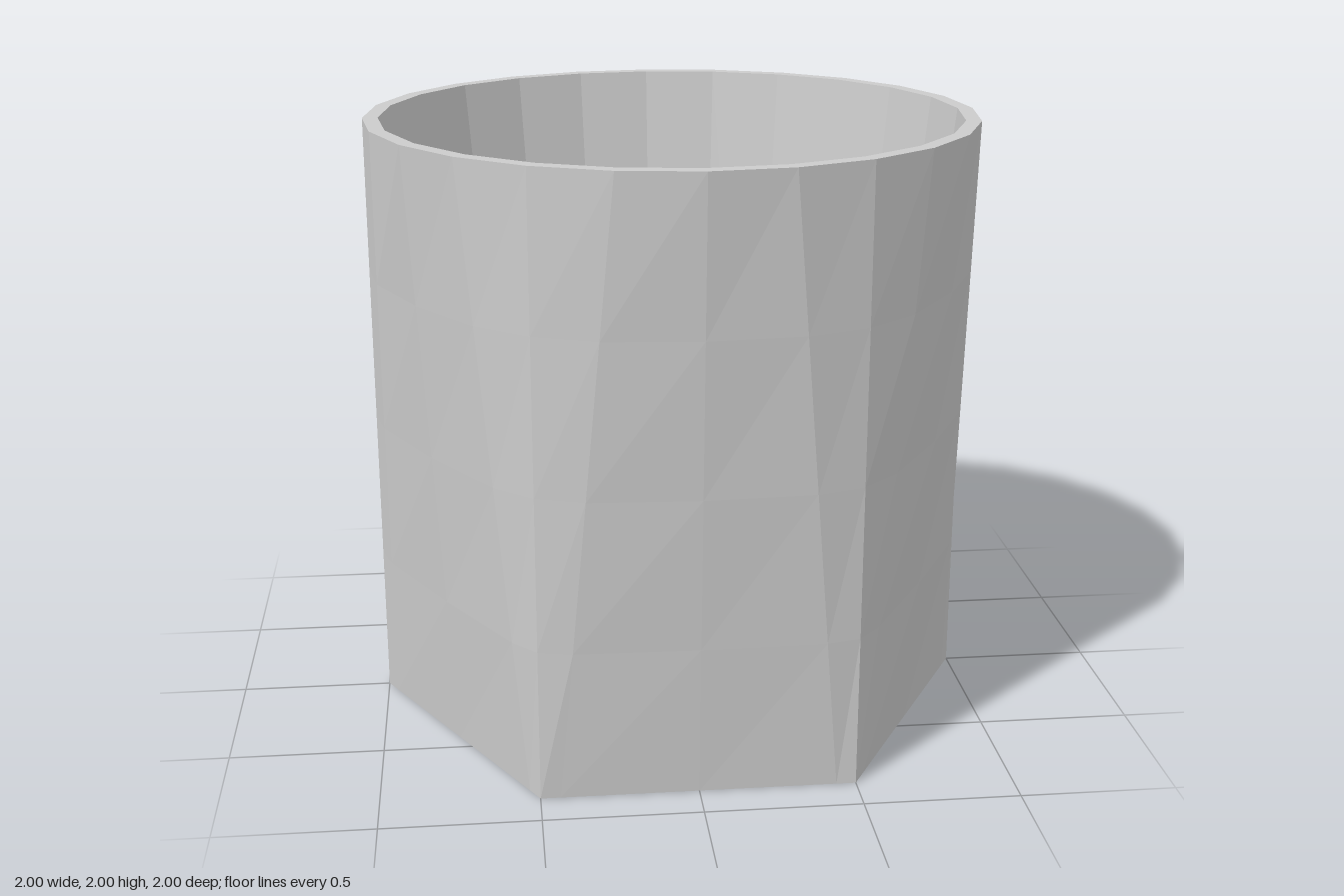
import * as THREE from 'three';

const SIDES = 6, PER_SIDE = 4, LAYERS = 4, HEIGHT = 2;
const COUNT = SIDES * PER_SIDE;

// Columns crowd towards the corners of the hexagonal base
const ease = t => (t < 0.5 ? 4 * t ** 3 : 1 - 4 * (1 - t) ** 3);
const onCircle = angle => new THREE.Vector3(Math.cos(angle), 0, Math.sin(angle));

// Wall point: straight blend from the hexagon at the base to the round rim
function wallPoint(i, layer) {
  const side = Math.floor(i / PER_SIDE), step = Math.PI * 2 / SIDES;
  const hexagon = onCircle(side * step).lerp(onCircle((side + 1) * step), ease((i % PER_SIDE) / PER_SIDE));
  const p = hexagon.lerp(onCircle(i * Math.PI * 2 / COUNT), layer / LAYERS);
  return p.setY(HEIGHT * layer / LAYERS);
}

function outerWallGeometry() {
  const positions = [], index = [];
  for (let j = 0; j <= LAYERS; j++)
    for (let i = 0; i < COUNT; i++) positions.push(...wallPoint(i, j).toArray());
  for (let j = 0; j < LAYERS; j++)
    for (let i = 0; i < COUNT; i++) {
      const next = (i + 1) % COUNT;
      const a = j * COUNT + i, b = j * COUNT + next, c = a + COUNT, d = b + COUNT;
      index.push(b, a, c, b, c, d);
    }
  const g = new THREE.BufferGeometry();
  g.setAttribute('position', new THREE.Float32BufferAttribute(positions, 3));
  g.setIndex(index);
  return g;
}

export function createModel() {
  const model = new THREE.Group();
  model.name = 'cup';
  const material = new THREE.MeshStandardMaterial({ color: 0xcccccc, flatShading: true });
  const add = (name, geometry) => {
    const flat = geometry.toNonIndexed();
    flat.computeVertexNormals();
    const mesh = new THREE.Mesh(flat, material);
    mesh.name = name;
    model.add(mesh);
  };

  add('outerWall', outerWallGeometry());

  // Flat rim, tapered inner wall and floor
  const profile = [[1, HEIGHT], [0.95, HEIGHT], [0.74, 0.1], [0, 0.1]];
  add('rimAndInside', new THREE.LatheGeometry(profile.map(p => new THREE.Vector2(...p)), COUNT));

  // Hexagonal underside
  add('base', new THREE.CircleGeometry(1, SIDES).rotateX(Math.PI / 2));

  return model;
}
